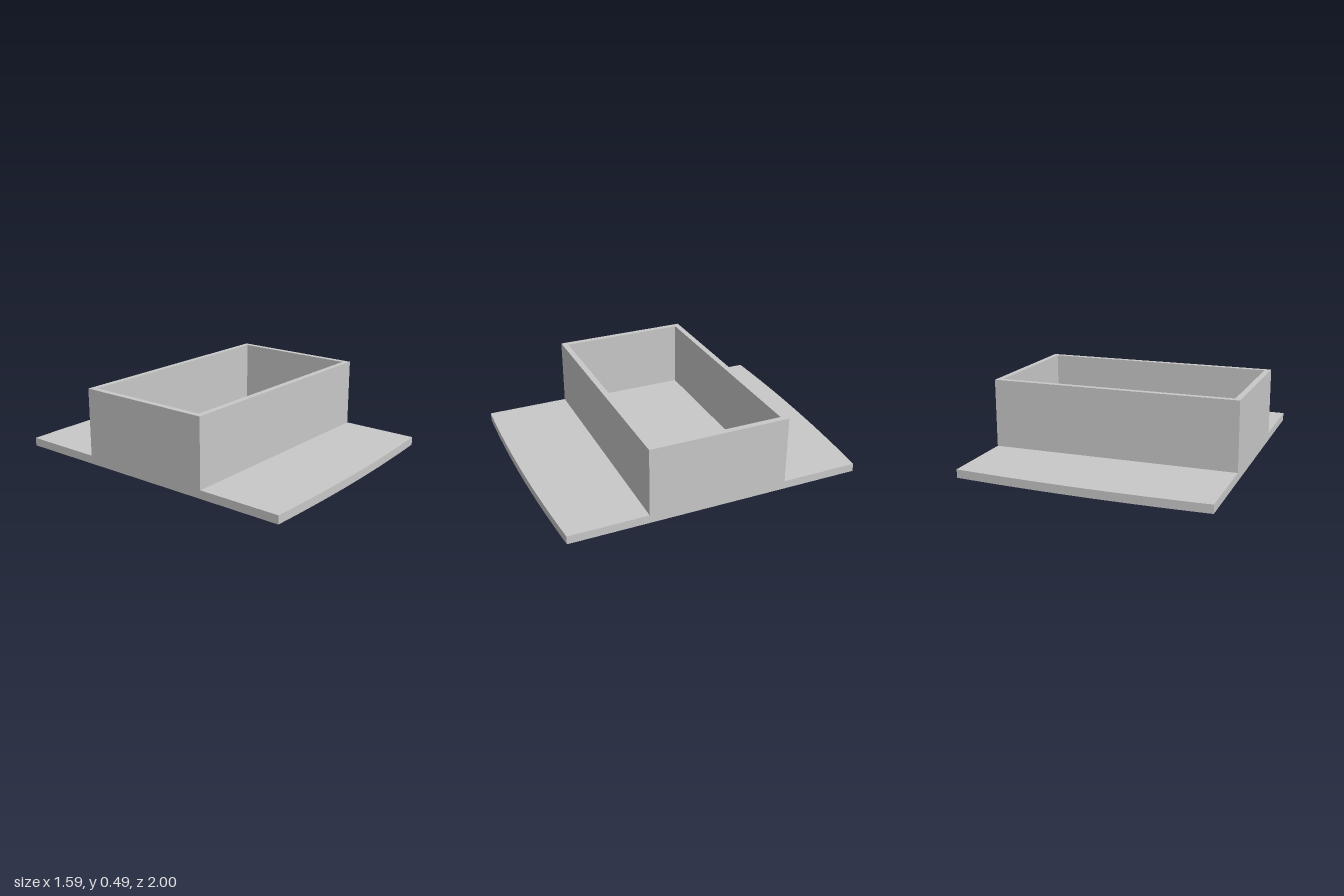
import * as THREE from 'three';

const HALF_X = 0.793;    // half width of plate and box
const HALF_Z = 0.448;    // half depth of the box
const PLATE_H = 0.053;   // flange thickness
const TOTAL_H = 0.491;
const WALL = 0.038;

// Extrudes a plan, symmetric front to back, upwards from y0 to y1
function extrudeUp(shape, y0, y1, material, name) {
  const geo = new THREE.ExtrudeGeometry(shape, { depth: y1 - y0, bevelEnabled: false });
  geo.rotateX(-Math.PI / 2).translate(0, y0, 0);
  const mesh = new THREE.Mesh(geo, material);
  mesh.name = name;
  return mesh;
}

function rectangle(PathType, hx, hz) {
  return new PathType([[-hx, -hz], [hx, -hz], [hx, hz], [-hx, hz]].map(([x, z]) => new THREE.Vector2(x, z)));
}

export function createModel() {
  const group = new THREE.Group();
  group.name = 'flangedTray';
  const grey = new THREE.MeshStandardMaterial({ color: 0xc8c8c8 });
  grey.name = 'lightGrey';

  // Base plate: straight sides, gently bowed front and back edges with off-centre crowns
  const edgeZ = x => 1 - (x + 0.32) ** 2 / 24.8;
  const outline = [];
  const steps = 16;
  for (const side of [-1, 1]) {
    for (let i = 0; i <= steps; i++) {
      const x = side * HALF_X * (1 - 2 * i / steps);
      outline.push(new THREE.Vector2(x, side * edgeZ(x)));
    }
  }
  group.add(extrudeUp(new THREE.Shape(outline), 0, PLATE_H, grey, 'basePlate'));

  // Open box: four walls standing on the plate
  const walls = rectangle(THREE.Shape, HALF_X, HALF_Z);
  walls.holes.push(rectangle(THREE.Path, HALF_X - WALL, HALF_Z - WALL));
  group.add(extrudeUp(walls, PLATE_H, TOTAL_H, grey, 'boxWalls'));

  return group;
}
